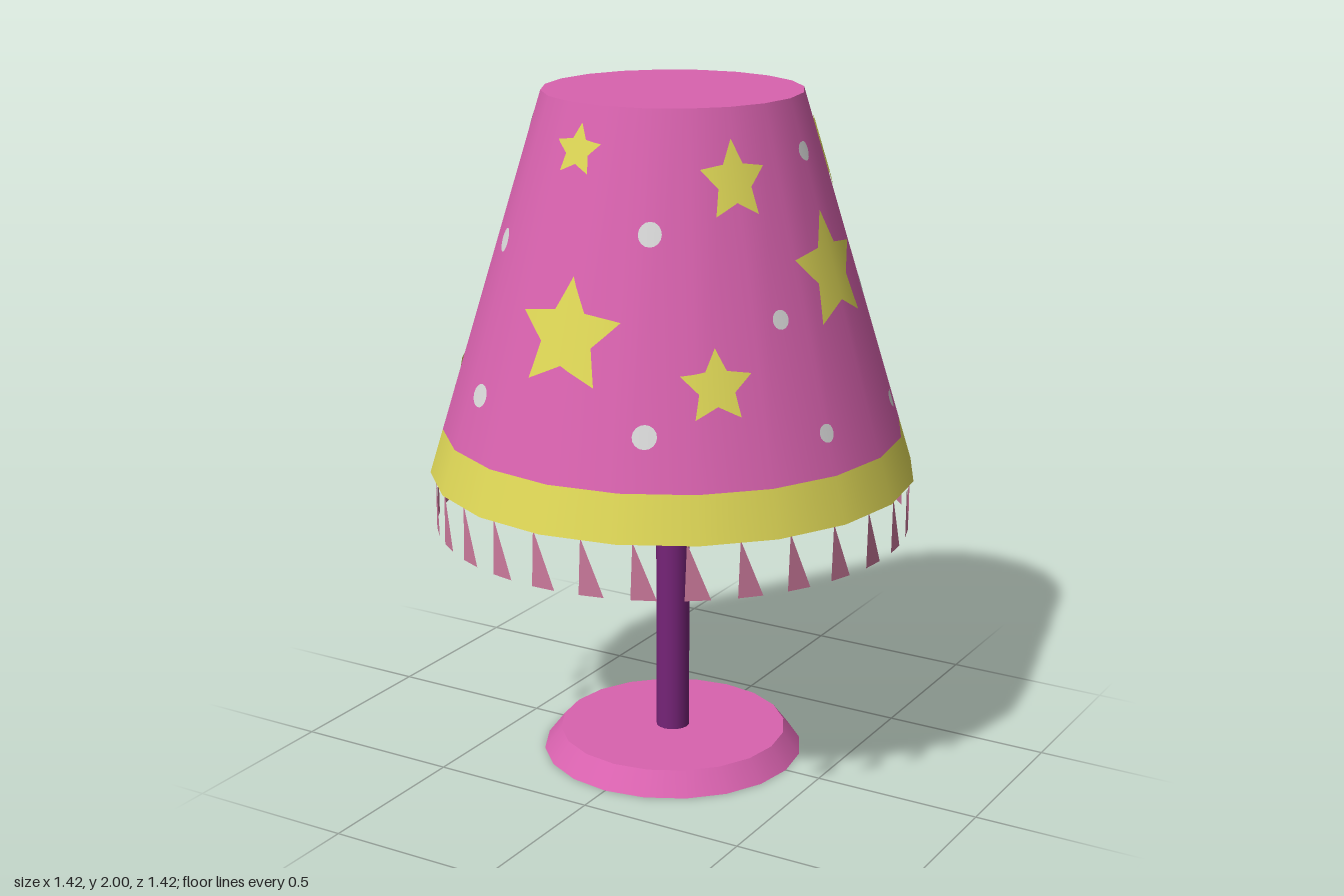
import * as THREE from 'three';

const SIDES = 20;
const BOTTOM = 0.89, BAND = 1.02, TOP = 2;
const SLOPE = (0.71 - 0.372) / (TOP - BOTTOM);
const radiusAt = (y) => 0.71 - SLOPE * (y - BOTTOM);
const rad = THREE.MathUtils.degToRad;

function material(name, color, side = THREE.DoubleSide) {
  const m = new THREE.MeshStandardMaterial({ color, side });
  m.name = name;
  return m;
}

function add(group, name, geometry, mat, y = 0) {
  const mesh = new THREE.Mesh(geometry, mat);
  mesh.name = name;
  mesh.position.y = y;
  group.add(mesh);
  return mesh;
}

// Point on the faceted cone of the shade, pushed out by a small offset
function onShade(theta, y, offset) {
  const step = (2 * Math.PI) / SIDES;
  const local = ((theta % step) + step) % step - step / 2;
  const r = radiusAt(y) * Math.cos(step / 2) / Math.cos(local) + offset;
  return [r * Math.sin(theta), y, r * Math.cos(theta)];
}

// Flat outline (unit points) wrapped around the shade as a thin face
function patch(outline, deg, y0, rx, ry, offset) {
  const rings = 5, n = outline.length, pos = [], nor = [], index = [];
  const put = (u, v) => {
    const y = y0 + v * ry;
    const theta = rad(deg) + (u * rx) / radiusAt(y0);
    pos.push(...onShade(theta, y, offset));
    nor.push(...new THREE.Vector3(Math.sin(theta), SLOPE, Math.cos(theta)).normalize().toArray());
  };
  put(0, 0);
  for (let k = 1; k <= rings; k++) outline.forEach(([u, v]) => put((u * k) / rings, (v * k) / rings));
  for (let i = 0; i < n; i++) {
    const j = (i + 1) % n;
    index.push(0, 1 + i, 1 + j);
    for (let k = 0; k < rings - 1; k++) {
      const a = 1 + k * n, b = a + n;
      index.push(a + i, b + i, b + j, a + i, b + j, a + j);
    }
  }
  const g = new THREE.BufferGeometry();
  g.setAttribute('position', new THREE.Float32BufferAttribute(pos, 3));
  g.setAttribute('normal', new THREE.Float32BufferAttribute(nor, 3));
  g.setIndex(index);
  return g;
}

// Five-pointed outline with subdivided edges
function starOutline() {
  const corner = (i) => {
    const r = i % 2 ? 0.5 : 1, a = Math.PI / 2 + (i * Math.PI) / 5;
    return [r * Math.cos(a), r * Math.sin(a)];
  };
  const pts = [];
  for (let i = 0; i < 10; i++) {
    const [ax, ay] = corner(i), [bx, by] = corner(i + 1);
    for (let t = 0; t < 1; t += 0.25) pts.push([ax + (bx - ax) * t, ay + (by - ay) * t]);
  }
  return pts;
}

export function createModel() {
  const lamp = new THREE.Group();
  lamp.name = 'tableLamp';
  const pink = material('pink', 0xd862ae);
  const yellow = material('yellow', 0xddd656);
  const white = material('white', 0xd8d8d8);
  const purple = material('purple', 0x762478);
  const dusty = material('dustyPink', 0xcc7a9c);

  // Foot and pole
  add(lamp, 'base', new THREE.CylinderGeometry(0.34, 0.39, 0.065, SIDES), pink, 0.0325);
  add(lamp, 'pole', new THREE.CylinderGeometry(0.05, 0.05, 1.97, 16), purple, 0.985);

  // Shade: cone wall, yellow hem and closed top
  const wall = (y0, y1) =>
    new THREE.CylinderGeometry(radiusAt(y1), radiusAt(y0), y1 - y0, SIDES, 1, true);
  add(lamp, 'shade', wall(BAND, TOP), pink, (BAND + TOP) / 2);
  add(lamp, 'shadeHem', wall(BOTTOM, BAND), yellow, (BOTTOM + BAND) / 2);
  const cap = new THREE.CircleGeometry(radiusAt(TOP), SIDES, Math.PI / 2);
  add(lamp, 'shadeTop', cap.rotateX(-Math.PI / 2), pink, TOP);

  // Painted stars and dots: angle, height, half width, half height
  const stars = [
    [-1, 1.405, 0.168, 0.155], [-8.5, 1.88, 0.08, 0.072], [53, 1.81, 0.1, 0.11],
    [42, 1.29, 0.104, 0.1], [90, 1.54, 0.172, 0.163], [-64, 1.2, 0.1, 0.095],
    [-90, 1.63, 0.168, 0.155],
  ];
  const dots = [
    [-65, 1.91, 0.034, 0.034], [23, 1.68, 0.032, 0.033], [-41, 1.6, 0.034, 0.033],
    [-30, 1.19, 0.035, 0.032], [23.5, 1.165, 0.034, 0.032], [63, 1.445, 0.026, 0.026],
    [71.5, 1.135, 0.025, 0.025], [90, 1.86, 0.026, 0.026], [-90, 1.35, 0.036, 0.036],
  ];
  const circle = Array.from({ length: 16 }, (_, i) => [Math.cos(i * Math.PI / 8), Math.sin(i * Math.PI / 8)]);
  const paint = (name, list, outline, mat) => {
    const group = new THREE.Group();
    group.name = name + 's';
    for (const [deg, y, rx, ry] of list) {
      // repeated on the back half, and shown on both faces of the shade
      const angles = Math.abs(deg) === 90 ? [deg] : [deg, 180 - deg];
      for (const a of angles)
        for (const offset of [0.004, -0.004]) add(group, name, patch(outline, a, y, rx, ry, offset), mat);
    }
    lamp.add(group);
  };
  paint('star', stars, starOutline(), yellow);
  paint('dot', dots, circle, white);

  // Fringe of leaning triangular tassels under the hem
  const fringe = new THREE.Group();
  fringe.name = 'fringe';
  const tassel = new THREE.ShapeGeometry(new THREE.Shape([
    new THREE.Vector2(-0.036, 0.73), new THREE.Vector2(0.036, 0.73), new THREE.Vector2(-0.03, 0.895),
  ]));
  tassel.translate(0, 0, 0.695);
  for (let i = 0; i < 30; i++) add(fringe, 'tassel', tassel, dusty).rotation.y = rad(i * 12);
  lamp.add(fringe);

  return lamp;
}
